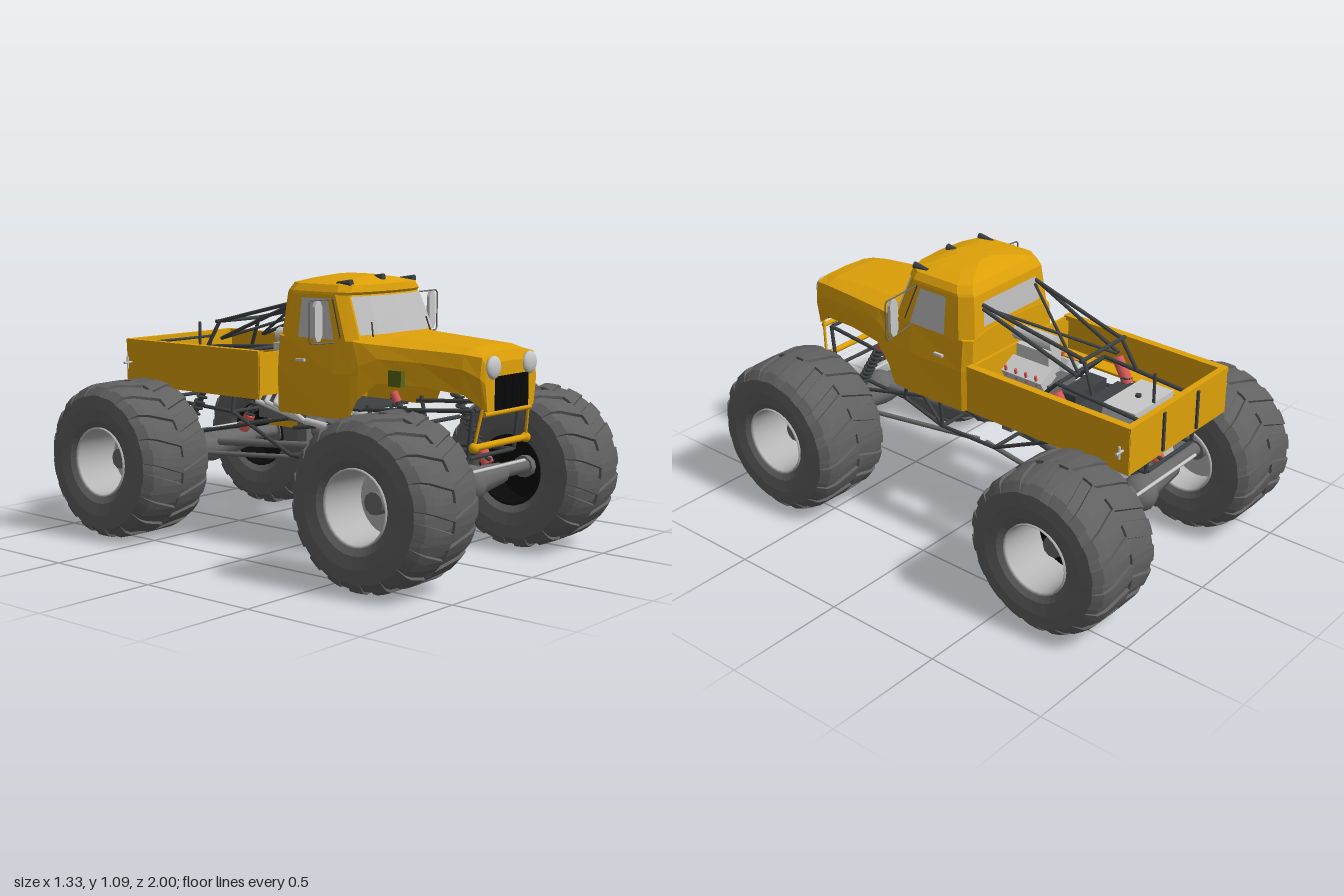
import * as THREE from 'three';

const mat = (name, color) => {
  const m = new THREE.MeshStandardMaterial({ color, side: THREE.DoubleSide });
  m.name = name;
  return m;
};
const V = (x, y, z) => new THREE.Vector3(x, y, z);

export function createModel() {
  const yellow = mat('yellow paint', 0xdfa108), rubber = mat('tyre rubber', 0x606060);
  const silver = mat('silver metal', 0xc8c8c8), glass = mat('grey glass', 0xbebebe);
  const black = mat('black', 0x080808), dark = mat('dark tube', 0x3e4143);
  const steel = mat('steel grey', 0x6a6a6a), red = mat('red damper', 0xd85a5a);
  const alloy = mat('rim alloy', 0xb6b6b6), olive = mat('olive green', 0x5c6618);

  const root = new THREE.Group();
  const truck = new THREE.Group();
  truck.name = 'truckBody';
  truck.position.x = 0.01;
  root.add(truck);

  // ---------- helpers ----------
  const add = (name, geo, m, parent = truck) => {
    const mesh = new THREE.Mesh(geo, m);
    mesh.name = name;
    parent.add(mesh);
    return mesh;
  };
  const box = (name, m, w, h, d, x, y, z) => {
    const b = add(name, new THREE.BoxGeometry(w, h, d), m);
    b.position.set(x, y, z);
    return b;
  };
  // round bar between two points
  const rod = (name, m, a, b, r = 0.007, r2 = r, parent = truck) => {
    const p = V(...a), q = V(...b), d = q.clone().sub(p);
    const c = add(name, new THREE.CylinderGeometry(r2, r, d.length(), r > 0.1 ? 28 : 10), m, parent);
    c.position.copy(p).lerp(q, 0.5);
    c.quaternion.setFromUnitVectors(V(0, 1, 0), d.normalize());
  };
  const pair = (name, m, a, b, r) => {
    for (const s of [1, -1]) rod(name, m, [a[0] * s, a[1], a[2]], [b[0] * s, b[1], b[2]], r);
  };
  // faceted skin through cross-sections
  const loft = (rings, closed, caps) => {
    const p = [], n = rings[0].length;
    const tri = (...v) => v.forEach(q => p.push(q.x, q.y, q.z));
    for (let i = 0; i < rings.length - 1; i++) {
      for (let j = 0; j < (closed ? n : n - 1); j++) {
        const k = (j + 1) % n, A = rings[i], B = rings[i + 1];
        tri(A[j], B[j], B[k]);
        tri(A[j], B[k], A[k]);
      }
    }
    if (caps) [rings[0], rings[rings.length - 1]].forEach((R, e) => {
      for (let j = 1; j < n - 1; j++) e ? tri(R[0], R[j + 1], R[j]) : tri(R[0], R[j], R[j + 1]);
    });
    const g = new THREE.BufferGeometry();
    g.setAttribute('position', new THREE.Float32BufferAttribute(p, 3));
    g.computeVertexNormals();
    return g;
  };

  // ---------- hood, fenders and doors ----------
  // z, top y, top half width, shoulder x y, side x, bottom x y
  const body = [
    [0.885, 0.80, 0.10, 0.155, 0.785, 0.165, 0.150, 0.62],
    [0.870, 0.838, 0.11, 0.168, 0.82, 0.178, 0.158, 0.63],
    [0.80, 0.852, 0.12, 0.182, 0.828, 0.192, 0.182, 0.68],
    [0.62, 0.862, 0.13, 0.207, 0.835, 0.217, 0.216, 0.70],
    [0.45, 0.870, 0.15, 0.235, 0.842, 0.248, 0.250, 0.70],
    [0.37, 0.875, 0.16, 0.250, 0.846, 0.263, 0.268, 0.63],
    [0.335, 0.875, 0.16, 0.255, 0.85, 0.268, 0.275, 0.56],
    [0.25, 0.875, 0.16, 0.258, 0.85, 0.272, 0.275, 0.55],
    [-0.02, 0.875, 0.16, 0.258, 0.85, 0.270, 0.270, 0.55],
    [-0.055, 0.875, 0.15, 0.235, 0.85, 0.245, 0.245, 0.555],
  ].map(([z, ty, tx, sx, sy, mx, bx, by]) => {
    const half = [[tx, ty - 0.005], [sx, sy], [mx, (sy + by) / 2 + 0.02], [bx, by]];
    return [...half.map(([x, y]) => V(-x, y, z)).reverse(), V(0, ty, z), ...half.map(([x, y]) => V(x, y, z))];
  });
  add('hoodAndDoors', loft(body, false, true), yellow);

  // ---------- cab roof ----------
  const cabRing = (y, w, zf, zr) => {
    const half = [[0.55, zf - 0.01], [0.88, zf - 0.035], [1, zf - 0.08], [1, zr + 0.05], [0.85, zr]];
    return [V(0, y, zf), ...half.map(([k, z]) => V(k * w, y, z)), ...half.map(([k, z]) => V(-k * w, y, z)).reverse()];
  };
  add('cabRoof', loft([
    cabRing(0.85, 0.262, 0.385, -0.052), cabRing(1.02, 0.242, 0.318, -0.035), cabRing(1.03, 0.24, 0.326, -0.03),
    cabRing(1.058, 0.222, 0.32, -0.015), cabRing(1.074, 0.15, 0.27, 0.03), cabRing(1.088, 0.04, 0.23, 0.08),
  ], true, true), yellow);
  // windows follow the cab skin
  const lowRing = cabRing(0.872, 0.259, 0.380, -0.054), highRing = cabRing(1.015, 0.242, 0.322, -0.04);
  const front = R => [9, 10, 0, 1, 2].map(i => R[i].clone().add(V(0, 0, 0.005)));
  add('windshield', loft([front(lowRing), front(highRing)], false), glass);
  for (const s of [1, -1]) {
    add('sideWindow', loft([
      [V(s * 0.265, 0.852, 0.25), V(s * 0.265, 0.852, 0.07)],
      [V(s * 0.247, 1.005, 0.205), V(s * 0.247, 1.005, 0.073)],
    ], false), glass);
    rod('windowPillar', dark, [s * 0.26, 0.86, 0.28], [s * 0.243, 1.01, 0.225], 0.003);
    box('doorHandle', silver, 0.012, 0.01, 0.045, s * 0.277, 0.765, 0.09);
    rod('wiper', dark, [s * 0.18, 0.865, 0.375], [s * 0.17, 0.92, 0.36], 0.003);
  }
  add('rearWindow', loft([[V(-0.17, 0.89, -0.054), V(0.17, 0.89, -0.054)], [V(-0.16, 0.99, -0.044), V(0.16, 0.99, -0.044)]], false), glass);
  for (const x of [-0.195, 0, 0.195]) {
    const y = x ? 1.066 : 1.08;
    rod('roofLight', dark, [x, y - 0.005, 0.21], [x, y, 0.28], 0.008, 0.014);
  }

  // ---------- mirrors ----------
  const plate = new THREE.Shape([[-0.021, -0.055], [-0.01, -0.077], [0.01, -0.077], [0.021, -0.055],
    [0.021, 0.055], [0.01, 0.077], [-0.01, 0.077], [-0.021, 0.055]].map(p => new THREE.Vector2(...p)));
  const mirrorGeo = new THREE.ExtrudeGeometry(plate, { depth: 0.014, bevelEnabled: false });
  for (const [s, reach] of [[1, 0.43], [-1, 0.37]]) {
    const f = [[0.23, 1.005, 0.235], [reach - 0.01, 1.005, 0.22], [reach, 0.995, 0.22], [reach, 0.85, 0.22],
      [reach - 0.01, 0.84, 0.22], [0.255, 0.84, 0.25]].map(([x, y, z]) => [x * s, y, z]);
    for (let i = 0; i < 5; i++) rod('mirrorFrame', steel, f[i], f[i + 1], 0.003);
    add('mirror', mirrorGeo, silver).position.set(s * (reach - 0.043), 0.925, 0.215);
  }

  // ---------- nose ----------
  for (let i = 0; i < 4; i++) box('grilleSlot', black, 0.049, 0.125, 0.008, -0.081 + i * 0.054, 0.685, 0.887);
  for (const s of [1, -1]) {
    rod('headlightCan', yellow, [s * 0.117, 0.782, 0.84], [s * 0.117, 0.782, 0.884], 0.042);
    const lens = add('headlightLens', new THREE.SphereGeometry(0.043, 16, 10), silver);
    lens.scale.z = 0.4;
    lens.position.set(s * 0.117, 0.782, 0.886);
    const ball = add('bumperEnd', new THREE.SphereGeometry(0.02, 12, 8), yellow);
    ball.position.set(s * 0.168, 0.487, 0.84);
  }
  rod('bumperBar', yellow, [-0.168, 0.487, 0.84], [0.168, 0.487, 0.84], 0.013);
  rod('noseCrossbar', yellow, [-0.15, 0.61, 0.87], [0.15, 0.61, 0.87], 0.01);
  pair('bumperStrut', yellow, [0.168, 0.487, 0.84], [0.15, 0.64, 0.865], 0.006);
  box('fenderCanister', olive, 0.025, 0.06, 0.06, -0.245, 0.725, 0.54);

  // ---------- cargo bed, open underneath ----------
  for (const s of [1, -1]) {
    box('bedSide', yellow, 0.012, 0.185, 0.765, s * 0.312, 0.688, -0.475);
    box('bedRim', yellow, 0.032, 0.02, 0.765, s * 0.304, 0.778, -0.475);
    box('bedLedge', yellow, 0.075, 0.01, 0.765, s * 0.276, 0.63, -0.475);
    box('tailgateStake', dark, 0.012, 0.16, 0.008, s * 0.11, 0.69, -0.864);
    rod('bedMarker', silver, [s * 0.34, 0.665, -0.83], [s * 0.34, 0.715, -0.83], 0.005);
    rod('bedMarker', silver, [s * 0.318, 0.69, -0.83], [s * 0.36, 0.69, -0.83], 0.005);
  }
  box('bedFront', yellow, 0.63, 0.17, 0.012, 0, 0.695, -0.095);
  box('tailgate', yellow, 0.63, 0.185, 0.014, 0, 0.688, -0.852);
  box('tailgateRim', yellow, 0.636, 0.02, 0.026, 0, 0.778, -0.848);
  pair('tailgateBrace', dark, [0.16, 0.62, -0.835], [0.16, 0.77, -0.835], 0.006);
  rod('tailgateBrace', dark, [-0.16, 0.765, -0.835], [0.16, 0.765, -0.835], 0.006);
  rod('antenna', dark, [0, 0.72, -0.74], [0, 0.845, -0.74], 0.006);

  // ---------- tube chassis and roll cage ----------
  [
    [[0.16, 0.975, -0.04], [0.12, 0.87, -0.5]], [[0.12, 0.87, -0.5], [0.14, 0.75, -0.56]],
    [[0.17, 0.965, -0.05], [0.13, 0.8, -0.48]], [[0.17, 0.62, -0.05], [0.13, 0.64, -0.4]],
    [[0.13, 0.64, -0.4], [0.15, 0.66, -0.84]], [[0.15, 0.75, -0.4], [0.15, 0.72, -0.83]],
    [[0.15, 0.75, -0.4], [0.13, 0.6, -0.25]], [[0.17, 0.58, 0.32], [0.15, 0.62, 0.82]],
    [[0.15, 0.62, 0.82], [0.15, 0.44, 0.8]], [[0.15, 0.44, 0.8], [0.15, 0.42, 0.4]],
    [[0.15, 0.42, 0.4], [0.14, 0.35, 0.2]], [[0.14, 0.35, 0.2], [0.14, 0.35, -0.08]],
    [[0.14, 0.35, -0.08], [0.15, 0.5, -0.4]], [[0.15, 0.5, -0.4], [0.15, 0.52, -0.82]],
    [[0.15, 0.52, -0.82], [0.15, 0.72, -0.83]], [[0.14, 0.35, 0.2], [0.16, 0.58, 0.2]],
    [[0.15, 0.42, 0.4], [0.17, 0.6, 0.34]], [[0.14, 0.35, 0.2], [0.16, 0.55, 0.36]],
    [[0.15, 0.5, -0.4], [0.13, 0.64, -0.4]], [[0.16, 0.53, 0.36], [0.16, 0.47, -0.05]],
  ].forEach(([a, b]) => pair('frameTube', dark, a, b, 0.008));
  [[0.62, 0.82], [0.44, 0.8], [0.54, 0.55], [0.35, 0.2], [0.35, -0.08], [0.75, -0.4], [0.5, -0.4], [0.66, -0.75], [0.52, -0.82], [0.87, -0.5]]
    .forEach(([y, z]) => rod('crossTube', dark, [-0.14, y, z], [0.14, y, z], 0.008));
  rod('cageDiagonal', dark, [-0.15, 0.96, -0.05], [0.12, 0.8, -0.48], 0.006);
  rod('cageDiagonal', dark, [0.15, 0.96, -0.05], [-0.12, 0.8, -0.48], 0.006);

  // ---------- engine and tank ----------
  box('engineBlock', steel, 0.17, 0.2, 0.22, 0, 0.58, -0.2);
  for (const s of [1, -1]) {
    box('valveCover', silver, 0.085, 0.05, 0.2, s * 0.075, 0.70, -0.2).rotation.z = -s * 0.5;
    for (let i = 0; i < 4; i++) {
      const z = -0.12 - i * 0.05;
      rod('exhaustHeader', silver, [s * 0.09, 0.62, z], [s * 0.16, 0.56, z + 0.02], 0.011);
      rod('exhaustHeader', silver, [s * 0.16, 0.56, z + 0.02], [s * 0.15, 0.5, 0], 0.011);
      rod('coverBolt', red, [s * 0.11, 0.68, z], [s * 0.12, 0.725, z], 0.006);
    }
    rod('exhaustPipe', silver, [s * 0.15, 0.5, 0.01], [s * 0.16, 0.49, 0.13], 0.016);
  }
  box('intakeManifold', silver, 0.08, 0.1, 0.16, 0, 0.74, -0.19);
  rod('airIntake', silver, [0, 0.82, -0.08], [0, 0.82, -0.27], 0.032);
  box('oilPan', yellow, 0.12, 0.045, 0.17, 0, 0.47, -0.19);
  box('radiator', dark, 0.2, 0.1, 0.08, 0, 0.64, -0.41);
  box('fuelTank', silver, 0.25, 0.11, 0.15, 0, 0.67, -0.67);
  box('tankTray', dark, 0.25, 0.06, 0.11, 0, 0.65, -0.54);
  rod('tankCap', dark, [0, 0.725, -0.67], [0, 0.735, -0.67], 0.012);
  box('bellHousing', steel, 0.14, 0.18, 0.05, 0, 0.49, -0.085);
  rod('gearbox', steel, [0, 0.45, -0.07], [0, 0.38, 0.12], 0.045, 0.035);
  box('cabFloor', dark, 0.3, 0.01, 0.3, 0, 0.57, 0.14);

  // ---------- axles, links and dampers ----------
  for (const e of [1, -1]) {
    const z = 0.68 * e;
    for (const s of [1, -1]) {
      rod('axleTube', steel, [0, 0.305, z], [s * 0.24, 0.318, z], 0.065, 0.042);
      rod('axleEnd', steel, [s * 0.24, 0.325, z], [s * 0.46, 0.325, z], 0.03);
    }
    const diff = add('differential', new THREE.SphereGeometry(0.075, 12, 8), steel);
    diff.position.set(0, 0.312, z + 0.015 * e);
    rod('tieRod', silver, [-0.3, 0.368, z + 0.07 * e], [0.3, 0.368, z + 0.07 * e], 0.007);
    rod('driveshaft', steel, [0, 0.33, z - 0.05 * e], [0, 0.37, 0.1 * e], 0.016);
    pair('lowerLink', steel, [0.2, 0.31, z - 0.03 * e], [0.12, 0.345, 0.02 * e], 0.01);
    pair('upperLink', dark, [0.17, 0.38, z], [0.13, 0.5, 0.1 * e], 0.008);
    // coil dampers lean toward the middle of the truck
    for (const s of [1, -1]) {
      const a = V(s * 0.182, 0.36, z - 0.02 * e);
      const b = e > 0 ? V(s * 0.185, 0.685, 0.465) : V(s * 0.195, 0.74, -0.43);
      const at = t => a.clone().lerp(b, t);
      rod('damperBody', red, at(0).toArray(), at(0.18).toArray(), 0.025);
      rod('damperCap', red, at(e > 0 ? 0.82 : 0.75).toArray(), at(e > 0 ? 0.93 : 1).toArray(), e > 0 ? 0.016 : 0.023);
      rod('damperShaft', dark, at(0.15).toArray(), at(0.85).toArray(), 0.012);
      const coil = Array.from({ length: 101 }, (_, i) => at(0.16 + 0.66 * i / 100)
        .add(V(0.021 * Math.cos(i * Math.PI / 5), 0, 0.021 * Math.sin(i * Math.PI / 5))));
      add('damperSpring', new THREE.TubeGeometry(new THREE.CatmullRomCurve3(coil), 140, 0.006, 5), dark);
    }
  }

  // ---------- wheels ----------
  const lathe = (pts, n = 28) => new THREE.LatheGeometry(pts.map(p => new THREE.Vector2(...p)), n).rotateZ(-Math.PI / 2);
  const shoulder = [[0.309, 0], [0.307, 0.115], [0.299, 0.15], [0.272, 0.177], [0.22, 0.182]];
  const lug = (side, k) => loft(shoulder.slice(0, 4).map(([r, x], i) => {
    const t0 = k * Math.PI * 2 / 18 - (x / 0.178) * 0.2 + (side > 0 ? 0.17 : 0), w = 0.115;
    const up = [0.011, 0.011, 0.008, 0.002][i];
    const pt = (rr, t) => V(side * x, rr * Math.cos(t), rr * Math.sin(t));
    return [pt(r - 0.01, t0 - w), pt(r + up, t0 - w * 0.88), pt(r + up, t0), pt(r + up, t0 + w * 0.88), pt(r - 0.01, t0 + w)];
  }), true, true);
  const tyreProfile = [[0.14, 0.155], [0.17, 0.174], ...shoulder.slice().reverse()];
  const tyreGeo = lathe([...tyreProfile.map(([r, x]) => [r, -x]), ...tyreProfile.slice(0, -1).reverse()], 36).toNonIndexed();
  tyreGeo.computeVertexNormals();
  const lugs = [];
  for (let k = 0; k < 18; k++) lugs.push(lug(1, k), lug(-1, k));
  const outerRim = lathe([[0.13, -0.04], [0.13, 0.05], [0.134, 0.16], [0.142, 0.168], [0.142, 0.155]]);
  const innerRim = lathe([[0.142, -0.155], [0.142, -0.168], [0.134, -0.16], [0.13, -0.04]]);

  for (const [x, z] of [[0.482, 0.675], [-0.482, 0.68], [0.48, -0.68], [-0.463, -0.68]]) {
    const w = new THREE.Group();
    w.name = 'wheel';
    w.position.set(x, 0.32, z);
    w.scale.x = Math.sign(x);
    root.add(w);
    add('tyre', tyreGeo, rubber, w);
    lugs.forEach(g => add('treadLug', g, rubber, w));
    add('outerRim', outerRim, alloy, w);
    // left wheels carry black centres, right wheels bare alloy
    const centre = x > 0 ? black : alloy;
    add('innerRim', innerRim, centre, w);
    rod('wheelDisc', centre, [-0.04, 0, 0], [-0.03, 0, 0], 0.13, 0.13, w);
    rod('hub', steel, [-0.07, 0, 0], [0.06, 0, 0], 0.045, 0.042, w);
  }
  return root;
}
